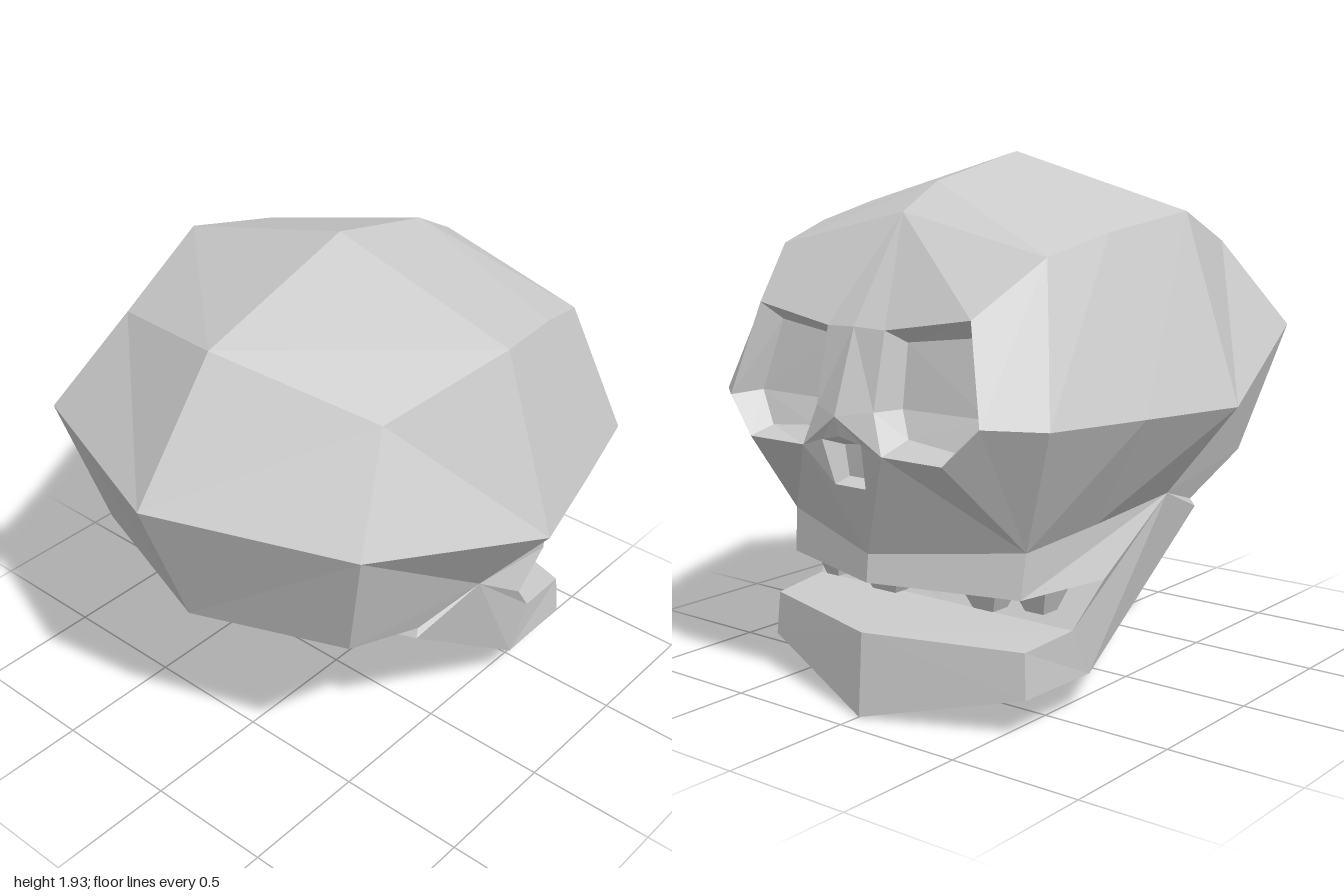
import * as THREE from 'three';

const material = new THREE.MeshStandardMaterial({ color: 0xcccccc, flatShading: true, side: THREE.DoubleSide });

// Flat polygons of the +z half, fanned into triangles and mirrored across z = 0
function mirroredMesh(name, polygons) {
  const pos = [];
  for (const p of polygons) {
    for (let i = 1; i < p.length - 1; i++) {
      pos.push(...p[0], ...p[i], ...p[i + 1]);
      for (const [x, y, z] of [p[0], p[i + 1], p[i]]) pos.push(x, y, -z);
    }
  }
  const geo = new THREE.BufferGeometry();
  geo.setAttribute('position', new THREE.Float32BufferAttribute(pos, 3));
  geo.computeVertexNormals();
  const mesh = new THREE.Mesh(geo, material);
  mesh.name = name;
  return mesh;
}

// Quads between two matching rows of points
function loft(a, b, closed = false) {
  const quads = [];
  const n = a.length;
  for (let i = 0; i < (closed ? n : n - 1); i++) {
    const j = (i + 1) % n;
    quads.push([a[i], b[i], b[j], a[j]]);
  }
  return quads;
}

// Rows along the skull, back to front
const crown = [[-0.64, 1.73, 0], [0.02, 1.93, 0], [0.47, 1.83, 0], [0.65, 1.73, 0]];
const upper = [[-0.46, 1.6, 0.6], [0.02, 1.73, 0.74], [0.37, 1.67, 0.66], [0.63, 1.6, 0.6]];
const widest = [[-0.73, 1.27, 0.74], [0.02, 1.07, 0.96], [0.42, 1.07, 0.85], [0.8, 1.07, 0.74]];
const lower = [[-0.62, 0.78, 0.6], [0.02, 0.73, 0.68], [0.36, 0.67, 0.61], [0.66, 0.62, 0.54]];
const nape = [-0.8, 0.73, 0];
const baseMid = [-0.42, 0.6, 0], baseSide = [-0.25, 0.65, 0.61];

function cranium() {
  return mirroredMesh('cranium', [
    ...loft(crown, upper), ...loft(upper, widest), ...loft(widest, lower),
    // back of the head
    ...loft([upper[0], widest[0], lower[0]], [crown[0], [-1, 1.27, 0], nape]),
    // underside
    [lower[0], nape, baseMid, baseSide],
  ]);
}

// Shared mouth corners
const mouthSide = [0.35, 0.48, 0.64], mouthMid = [0.35, 0.5, 0];

function face() {
  const browMid = [0.9, 1.36, 0], noseTip = [1, 1.07, 0], lipMid = [0.85, 0.57, 0];
  // eye socket rim and recessed floor
  const rim = [[0.87, 1.41, 0.48], [0.89, 1.355, 0.13], [0.95, 1.09, 0.13],
    [0.97, 0.95, 0.18], [0.97, 0.95, 0.44], [0.94, 1.08, 0.57]];
  const socket = [[0.79, 1.345, 0.45], [0.81, 1.31, 0.16], [0.84, 1.09, 0.16],
    [0.88, 1.0, 0.22], [0.88, 0.98, 0.42], [0.83, 1.09, 0.52]];
  const [browOut, browIn, noseSide, eyeIn, eyeOut, cheek] = rim;
  // nose opening and its recess
  const nose = [[0.98, 1.0, 0], [0.97, 0.98, 0.09], [0.93, 0.82, 0.07], [0.93, 0.82, 0]];
  const noseBack = [[0.88, 0.96, 0], [0.88, 0.95, 0.07], [0.87, 0.84, 0.06], [0.87, 0.84, 0]];
  const temple = widest[3], jowl = lower[3];
  const gumSide = [0.68, 0.46, 0.53], gumMid = [0.86, 0.47, 0];
  return mirroredMesh('face', [
    // forehead, bridge and temple
    [crown[3], upper[3], browOut, browIn, browMid],
    [browMid, browIn, noseSide, noseTip],
    [upper[3], temple, cheek, browOut],
    // eye socket
    ...loft(rim, socket, true), [...socket].reverse(),
    // cheek
    [cheek, temple, jowl], [eyeOut, cheek, jowl], [eyeIn, eyeOut, jowl],
    [eyeIn, jowl, lipMid], [eyeIn, lipMid, nose[2]], [nose[2], lipMid, nose[3]],
    // nose
    [noseTip, noseSide, eyeIn], [noseTip, eyeIn, nose[1]], [noseTip, nose[1], nose[0]],
    [nose[1], eyeIn, nose[2]], ...loft(noseBack, nose), noseBack,
    // upper jaw and palate
    [lower[1], mouthSide, gumSide, jowl, lower[2]],
    [jowl, gumSide, gumMid, lipMid],
    [mouthSide, mouthMid, gumMid, gumSide],
  ]);
}

function jaw() {
  const hinge = [-0.27, 0.62, 0.62], hingeMid = [-0.4, 0.54, 0];
  const angle = [0.38, 0.14, 0.6], keel = [0.47, 0.08, 0];
  const chinLow = [0.73, 0.14, 0.59], chinLowMid = [0.91, 0, 0];
  const chinTop = [0.72, 0.3, 0.58], chinTopMid = [0.89, 0.3, 0];
  const floorSide = [0.48, 0.32, 0.6], floorMid = [0.48, 0.32, 0];
  return mirroredMesh('lowerJaw', [
    // outer side
    [lower[1], lower[0], baseSide, hinge, angle, floorSide, mouthSide],
    [angle, chinLow, chinTop, floorSide],
    // underside, chin and hinge step
    [hinge, hingeMid, keel, angle], [angle, keel, chinLowMid, chinLow],
    [chinLow, chinLowMid, chinTopMid, chinTop],
    [baseSide, baseMid, hingeMid, hinge],
    // throat and mouth floor
    [mouthSide, floorSide, floorMid, mouthMid],
    [floorSide, chinTop, chinTopMid, floorMid],
  ]);
}

// Tapered four-sided teeth hanging from the palate: x, z, length along x, width along z
function teeth() {
  const group = new THREE.Group();
  group.name = 'upperTeeth';
  for (const [x, z, l, w] of [[0.58, 0.4, 0.16, 0.12], [0.62, 0.11, 0.14, 0.22],
    [0.58, -0.32, 0.16, 0.18], [0.5, -0.48, 0.16, 0.16]]) {
    const geo = new THREE.CylinderGeometry(Math.SQRT1_2, 0.35, 0.11, 4, 1).rotateY(Math.PI / 4);
    const tooth = new THREE.Mesh(geo, material);
    tooth.scale.set(l, 1, w);
    tooth.position.set(x, 0.43, z);
    tooth.name = 'tooth';
    group.add(tooth);
  }
  return group;
}

export function createModel() {
  const skull = new THREE.Group();
  skull.name = 'skull';
  skull.add(cranium(), face(), jaw(), teeth());
  return skull;
}
